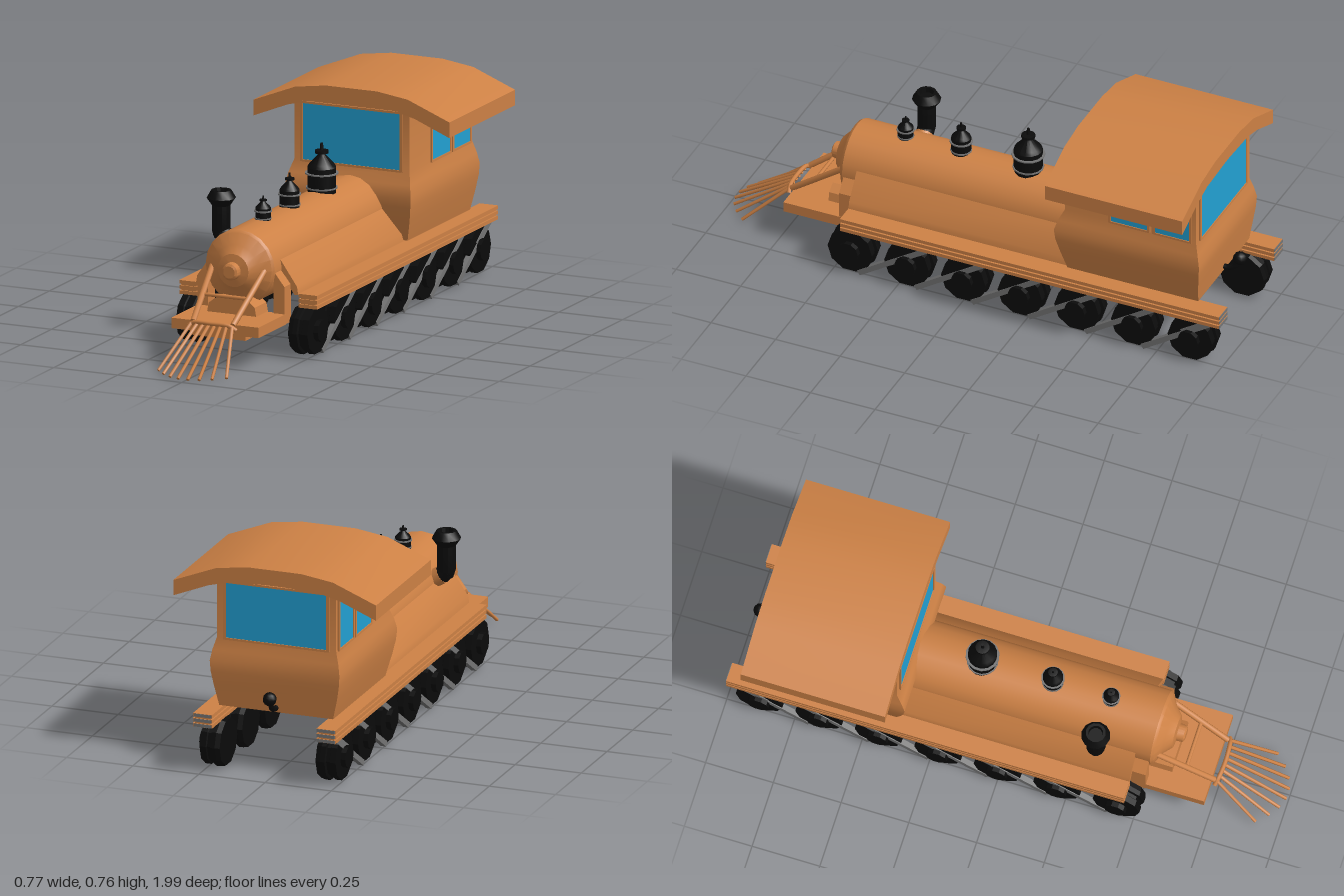
import * as THREE from 'three';
import { toCreasedNormals } from 'three/addons/utils/BufferGeometryUtils.js';

const mat = (name, color, extra = {}) => {
  const m = new THREE.MeshStandardMaterial({ color, ...extra });
  m.name = name;
  return m;
};

export function createModel() {
  const copper = mat('copper', 0xcd8145);
  const black = mat('black iron', 0x0b0b0b);
  const glass = mat('blue glass', 0x22a0d2);
  const steel = mat('grey steel', 0x747474);
  const model = new THREE.Group();
  model.name = 'steamLocomotive';

  const add = (name, geo, material, x = 0, y = 0, z = 0, parent = model) => {
    const m = new THREE.Mesh(geo, material);
    m.name = name;
    m.position.set(x, y, z);
    parent.add(m);
    return m;
  };
  // box given by its minimum and maximum on each axis
  const box = (name, material, x0, x1, y0, y1, z0, z1, parent = model) =>
    add(name, new THREE.BoxGeometry(x1 - x0, y1 - y0, z1 - z0), material,
      (x0 + x1) / 2, (y0 + y1) / 2, (z0 + z1) / 2, parent);
  // straight round bar between two points
  const rod = (name, material, a, b, r, sides = 8, r2 = r) => {
    const p = new THREE.Vector3(...a), q = new THREE.Vector3(...b), d = q.clone().sub(p);
    const m = add(name, new THREE.CylinderGeometry(r2, r, d.length(), sides), material);
    m.position.copy(p.add(q).multiplyScalar(0.5));
    m.quaternion.setFromUnitVectors(new THREE.Vector3(0, 1, 0), d.normalize());
    return m;
  };
  const lathe = (points, sides) => toCreasedNormals(
    new THREE.LatheGeometry(points.map(p => new THREE.Vector2(...p)), sides), 0.5);
  // outline in x, y pushed from z0 to z1
  const extrude = (points, z0, z1) => {
    const g = new THREE.ExtrudeGeometry(new THREE.Shape(points.map(p => new THREE.Vector2(...p))),
      { depth: z1 - z0, bevelEnabled: false });
    g.translate(0, 0, z0);
    return toCreasedNormals(g, 0.5);
  };

  // Boiler with its stepped nose, turned around the z axis
  const boiler = lathe([[0, -0.4], [0.135, -0.4], [0.135, 0.525], [0.128, 0.535], [0.087, 0.557],
    [0.06, 0.583], [0.032, 0.588], [0.03, 0.612], [0.022, 0.617], [0, 0.617]], 20);
  boiler.rotateX(Math.PI / 2);
  add('boiler', boiler, copper, 0, 0.318, 0);

  // Sloping skirts beside the boiler, and their front posts
  for (const s of [-1, 1]) {
    const outline = [[0.128, 0.35], [0.195, 0.255], [0.2, 0.225], [0.185, 0.225], [0.128, 0.3]];
    const pts = outline.map(([x, y]) => [s * x, y]);
    add('skirt', extrude(s > 0 ? pts.reverse() : pts, -0.4, 0.47), copper);
    const post = [[0.128, 0.125], [0.17, 0.125], [0.17, 0.262], [0.128, 0.315]].map(([x, y]) => [s * x, y]);
    add('frontPost', extrude(s > 0 ? post : post.reverse(), 0.465, 0.52), copper);
  }

  // Front platform and saddle under the nose
  box('frontPlatform', copper, -0.168, 0.172, 0.125, 0.163, 0.51, 0.735);
  box('lowerPlate', copper, -0.103, 0.105, 0.1, 0.13, 0.49, 0.7);
  add('saddle', extrude([[-0.1, 0.14], [0.1, 0.14], [0.09, 0.195], [0.06, 0.218], [-0.06, 0.218], [-0.09, 0.195]],
    0.5, 0.595), copper);

  // Pilot: rails, cross bars and fan of bars
  for (const s of [-1, 1]) {
    rod('pilotRail', copper, [s * 0.103, 0.325, 0.53], [s * 0.078, 0.163, 0.745], 0.011);
  }
  rod('pilotCrossBar', copper, [-0.088, 0.238, 0.645], [0.088, 0.238, 0.645], 0.007);
  const arch = new THREE.CatmullRomCurve3([[-0.093, 0.147, 0.75], [-0.07, 0.162, 0.757], [0, 0.165, 0.762],
    [0.07, 0.162, 0.757], [0.093, 0.147, 0.75]].map(p => new THREE.Vector3(...p)));
  add('pilotTopBar', new THREE.TubeGeometry(arch, 12, 0.008, 8), copper);
  for (let i = 0; i < 8; i++) {
    const t = (i - 3.5) / 3.5;
    rod('pilotBar', copper, [t * 0.08, 0.158, 0.757], [t * 0.133, 0.015, 0.993 - 0.08 * t * t], 0.007, 6, 0.006);
  }

  // Cab body: rectangles stacked by height as [y, half width, front z, back z]
  const rows = [[0.233, 0.215, -0.385, -0.892], [0.31, 0.233, -0.364, -0.9], [0.36, 0.242, -0.351, -0.906],
    [0.4, 0.245, -0.346, -0.908], [0.44, 0.238, -0.358, -0.9], [0.485, 0.225, -0.38, -0.888],
    [0.71, 0.225, -0.38, -0.888]];
  const rings = rows.map(([y, h, f, b]) => [[h, y, f], [h, y, b], [-h, y, b], [-h, y, f]]);
  const pos = [];
  const quad = (a, b, c, d) => pos.push(...a, ...b, ...c, ...a, ...c, ...d);
  for (let r = 0; r + 1 < rings.length; r++) {
    for (let i = 0; i < 4; i++) {
      const j = (i + 1) % 4;
      quad(rings[r][i], rings[r][j], rings[r + 1][j], rings[r + 1][i]);
    }
  }
  quad(...rings[0].slice().reverse());
  const cab = new THREE.BufferGeometry();
  cab.setAttribute('position', new THREE.Float32BufferAttribute(pos, 3));
  add('cabBody', toCreasedNormals(cab, 0.6), copper);

  // Arched roof
  add('roof', extrude([[-0.383, 0.625], [-0.25, 0.679], [-0.17, 0.7], [0, 0.708], [0.17, 0.7], [0.25, 0.679],
    [0.383, 0.625], [0.383, 0.682], [0.22, 0.747], [0.1, 0.764], [-0.1, 0.764], [-0.22, 0.747], [-0.383, 0.682]],
  -0.907, -0.375), copper);

  // Windows: thin pane with a frame, built facing +z then turned into place
  const windowPane = (w, h, x, y, z, turn) => {
    const g = new THREE.Group();
    g.name = 'window';
    g.position.set(x, y, z);
    g.rotation.y = turn;
    box('pane', glass, -w / 2, w / 2, -h / 2, h / 2, -0.003, 0.003, g);
    for (const s of [-1, 1]) {
      add('frameSide', new THREE.BoxGeometry(0.01, h + 0.01, 0.012), copper, s * (w / 2 + 0.002), 0, 0, g);
      add('frameRail', new THREE.BoxGeometry(w, 0.008, 0.012), copper, 0, s * (h / 2 + 0.002), 0, g);
    }
    model.add(g);
  };
  windowPane(0.385, 0.208, 0, 0.589, -0.38, 0);
  windowPane(0.385, 0.208, 0, 0.589, -0.888, Math.PI);
  for (const s of [-1, 1]) {
    windowPane(0.148, 0.195, s * 0.225, 0.584, -0.63, s * Math.PI / 2);
    windowPane(0.138, 0.195, s * 0.225, 0.584, -0.797, s * Math.PI / 2);
  }

  // Domes along the boiler top, with grey bands
  for (const [z, r, h] of [[-0.135, 0.052, 0.17], [0.125, 0.036, 0.12], [0.34, 0.028, 0.085]]) {
    const p = [[1, -0.15], [1, 0.49], [0.86, 0.56], [0.3, 0.74], [0.24, 0.78], [0.48, 0.79],
      [0.48, 0.85], [0.12, 0.86], [0.1, 1], [0, 1]];
    add('dome', lathe(p.map(([a, b]) => [a * r, b * h]), 14), black, 0, 0.45, z);
    for (const [f, k] of [[0.06, 1.08], [0.37, 1.16]]) {
      add('domeBand', new THREE.CylinderGeometry(r * k, r * k, 0.005, 14), steel, 0, 0.45 + f * h, z);
    }
  }

  // Side chimney and the elbow joining it to the boiler
  add('chimney', lathe([[0, 0.365], [0.025, 0.365], [0.033, 0.39], [0.033, 0.483], [0.052, 0.51],
    [0.036, 0.538], [0.026, 0.538], [0.024, 0.52], [0, 0.52]], 12), black, -0.166, 0, 0.335);
  rod('chimneyFoot', black, [-0.17, 0.395, 0.335], [-0.146, 0.368, 0.335], 0.032, 12);
  rod('chimneyElbow', copper, [-0.15, 0.372, 0.335], [-0.09, 0.335, 0.335], 0.033, 12);

  // Rear coupling hook
  const hook = new THREE.CatmullRomCurve3([[0, 0.252, -0.88], [0, 0.25, -0.91], [0, 0.262, -0.935],
    [0, 0.3, -0.953]].map(p => new THREE.Vector3(...p)));
  add('hook', new THREE.TubeGeometry(hook, 10, 0.01, 8), black);
  add('hookBall', new THREE.SphereGeometry(0.025, 10, 8), black, 0, 0.301, -0.955);

  // Running boards, wheels and diagonal bars on both sides
  const wheelGeo = lathe([[0, -0.038], [0.086, -0.038], [0.09, -0.02], [0.09, -0.003], [0.08, 0],
    [0.08, 0.012], [0.086, 0.015], [0.086, 0.038], [0.04, 0.038], [0.04, 0.057], [0, 0.057]], 10).toNonIndexed();
  wheelGeo.computeVertexNormals();
  for (const s of [-1, 1]) {
    const side = new THREE.Group();
    side.name = s > 0 ? 'leftRunningGear' : 'rightRunningGear';
    side.position.x = 0.004;
    model.add(side);
    for (let i = 0; i < 3; i++) {
      const y = 0.18 + i * 0.0185;
      box('boardLayer', copper, s * 0.233 - 0.036, s * 0.233 + 0.036, y, y + 0.013, -0.998, 0.47, side);
      box('boardEnd', steel, s * 0.233 - 0.034, s * 0.233 + 0.034, y + 0.001, y + 0.012, -1, -0.997, side);
    }
    box('boardCore', copper, s * 0.233 - 0.029, s * 0.233 + 0.029, 0.185, 0.225, -0.995, 0.465, side);
    for (let i = 0; i < 7; i++) {
      const z = 0.437 - i * 0.2195;
      const wheel = add('wheel', wheelGeo, black, s * 0.219, 0.097, z, side);
      wheel.rotation.z = -s * Math.PI / 2;
      // bar rising backwards from the foot of this wheel
      const long = i < 6;
      const bar = add('diagonalBar', new THREE.BoxGeometry(0.02, 0.02, long ? 0.32 : 0.12), steel,
        s * 0.25, long ? 0.1 : 0.153, z - (long ? 0.17 : 0.02), side);
      bar.rotation.x = 0.57;
    }
  }
  return model;
}
